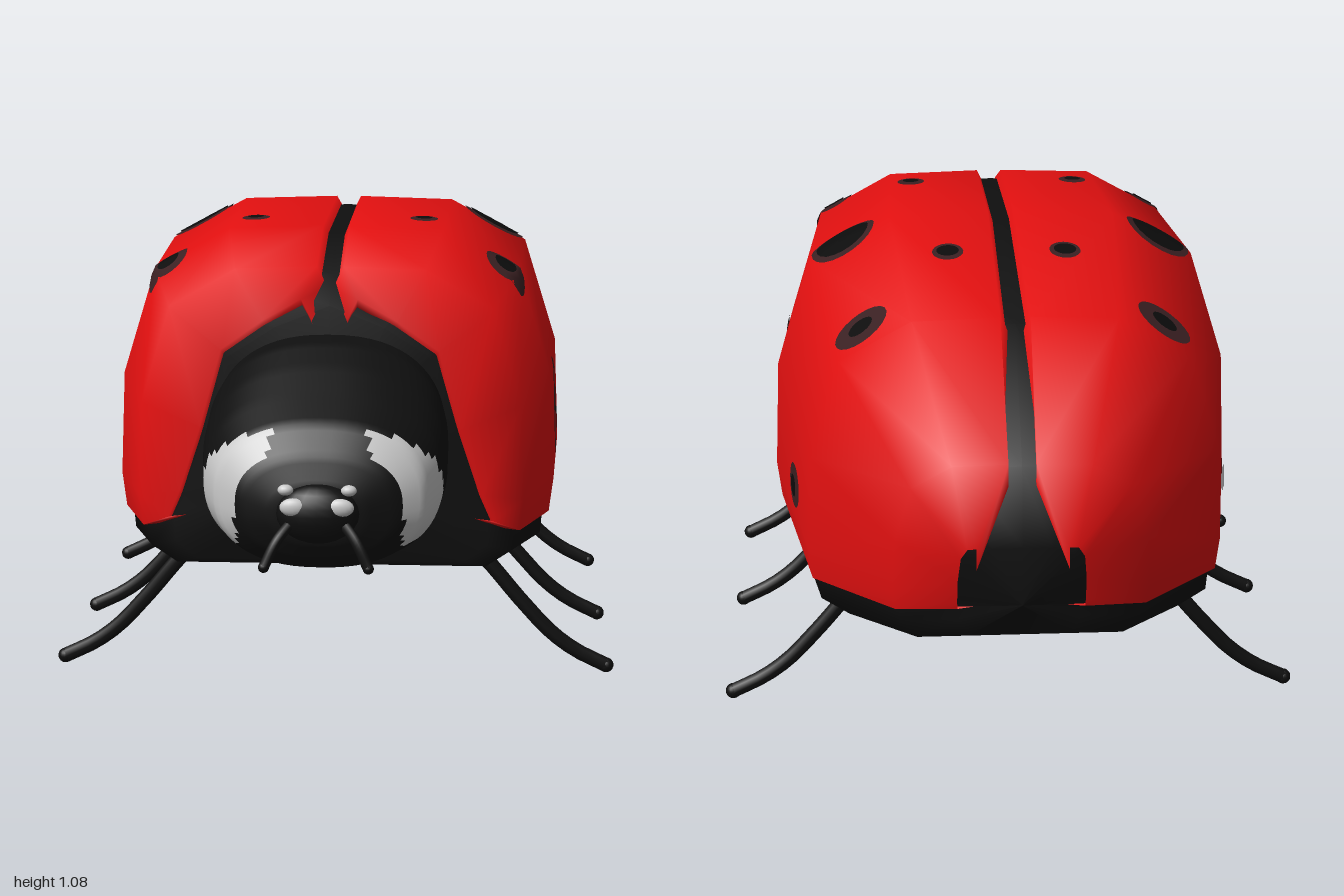
import * as THREE from 'three';

const mat = (name, color, side = THREE.FrontSide) => {
  const m = new THREE.MeshStandardMaterial({ color, side });
  m.name = name;
  return m;
};

// Skin a surface over sections ordered front to back; pick(x, y, z) chooses a material group
function loft(sections, { closed = false, flip = false, pick = null } = {}) {
  const n = sections[0].length, pos = sections.flat(2), groups = [[], []];
  for (let i = 0; i < sections.length - 1; i++) {
    for (let j = 0; j < (closed ? n : n - 1); j++) {
      const k = (j + 1) % n;
      const a = i * n + j, b = i * n + k, c = a + n, d = b + n;
      const mid = [0, 1, 2].map(q => (pos[a * 3 + q] + pos[b * 3 + q] + pos[c * 3 + q] + pos[d * 3 + q]) / 4);
      const list = groups[pick && pick(...mid) ? 1 : 0];
      if (flip) list.push(a, c, b, b, c, d);
      else list.push(a, b, c, b, d, c);
    }
  }
  const g = new THREE.BufferGeometry();
  g.setAttribute('position', new THREE.Float32BufferAttribute(pos, 3));
  g.setIndex([...groups[0], ...groups[1]]);
  if (pick) {
    g.addGroup(0, groups[0].length, 0);
    g.addGroup(groups[0].length, groups[1].length, 1);
  }
  g.computeVertexNormals();
  return g;
}

// Piecewise linear lookup in [[key, value], ...] with rising keys
function lookup(table, t) {
  for (let i = 1; i < table.length; i++) {
    const [k0, v0] = table[i - 1], [k1, v1] = table[i];
    if (t <= k1) return v0 + (v1 - v0) * Math.max(0, (t - k0) / (k1 - k0));
  }
  return table[table.length - 1][1];
}

// Half cross-section of the back, from the seam (0,1) to the rim
const ARCH = [[0, 1], [0.48, 0.99], [0.83, 0.845], [0.98, 0.48], [1, 0.12], [0.98, 0]];
const FRONT_ARCH = [[0, 1], [0.34, 0.9], [0.62, 0.77], [0.77, 0.42], [0.92, 0.12], [1, 0]];
// z, half width, top, rim height, seam gap, belly height, forward tuck of the rim
const STATIONS = [
  [0.55, 0.38, 0.92, 0.40, 0.04, 0.30, -0.02],
  [0.51, 0.45, 0.99, 0.375, 0.006, 0.285, 0],
  [0.29, 0.525, 1.06, 0.37, 0.006, 0.275, 0],
  [-0.22, 0.55, 1.08, 0.37, 0.006, 0.27, 0],
  [-0.74, 0.465, 0.975, 0.37, 0.008, 0.275, 0],
  [-0.97, 0.28, 0.72, 0.375, 0.03, 0.30, 0.04],
  [-1.0, 0.14, 0.54, 0.38, 0.1, 0.31, 0.05],
];
const archPoints = ([z, w, top, rim, gap, , tuck], i) =>
  (i === 0 ? FRONT_ARCH : ARCH).map(([u, v]) =>
    [gap + (w - gap) * u, rim + (top - rim) * v, z + tuck * (1 - v)]);

function wingCase(side) {
  const sections = STATIONS.map((s, i) => {
    const p = archPoints(s, i), [x, y, z] = p[0], e = p[p.length - 1];
    const edge = [Math.max(s[4], e[0] - 0.04), e[1] + 0.005, e[2]];
    const lip = i > 4 ? 0 : 0.025;
    return [[x, y - 0.05, z], [x + lip, y, z], ...p.slice(1), e, edge]
      .map(([a, b, c]) => [side * a, b, c]);
  });
  // turned-in front edge
  const inner = sections[0].map(([x, y, z]) => [x * 0.96, 0.4 + (y - 0.4) * 0.96, z - 0.02]);
  return loft([inner, ...sections], { flip: side < 0 });
}

function bodyGeometry() {
  const rings = STATIONS.map((s, i) => {
    const flat = [...s];
    flat[4] = 0;
    const half = archPoints(flat, i).map(([x, y, z]) => [x * 0.97, 0.37 + (y - 0.37) * 0.97, z * 0.985]);
    const [x, , z] = half[half.length - 1];
    half.push([x * 0.99, s[5] + 0.04, z], [x * 0.85, s[5], z]);
    return [...half, ...half.slice(1).reverse().map(([a, b, c]) => [-a, b, c])];
  });
  const cap = (ring, y) => ring.map(() => [0, y, ring[0][2]]);
  return loft([cap(rings[0], 0.55), ...rings, cap(rings[rings.length - 1], 0.4)], { closed: true });
}

// z, half width, top, bottom
const HEAD = [
  [0.935, 0.005, 0.51, 0.5], [0.93, 0.1, 0.57, 0.44], [0.91, 0.17, 0.63, 0.405], [0.87, 0.23, 0.695, 0.375],
  [0.78, 0.265, 0.745, 0.36], [0.7, 0.275, 0.79, 0.358], [0.62, 0.275, 0.83, 0.36],
  [0.56, 0.268, 0.84, 0.375], [0.5, 0.25, 0.83, 0.4],
];
function headGeometry() {
  const rings = [], steps = 5, sides = 64;
  const soft = v => Math.sign(v) * Math.abs(v) ** 0.85;
  for (let i = 0; i <= (HEAD.length - 1) * steps; i++) {
    const k = Math.min(HEAD.length - 2, Math.floor(i / steps)), f = i / steps - k;
    const [z, w, t, b] = HEAD[k].map((v, q) => v + (HEAD[k + 1][q] - v) * f);
    rings.push(Array.from({ length: sides }, (_, j) => {
      const a = j / sides * Math.PI * 2;
      return [w * soft(Math.sin(a)), (t + b) / 2 + (t - b) / 2 * soft(Math.cos(a)), z];
    }));
  }
  // pale cheek patches
  const innerX = [[0.42, 0.18], [0.5, 0.185], [0.58, 0.165], [0.63, 0.11], [0.68, 0.1]];
  const backZ = [[0.42, 0.72], [0.52, 0.755], [0.61, 0.81], [0.68, 0.87]];
  const pick = (x, y, z) => y > 0.425 && y < 0.68 && Math.abs(x) > lookup(innerX, y) && z > lookup(backZ, y);
  return loft(rings, { closed: true, pick });
}

// Disc laid on a surface by casting rays along one axis; a is x (or z), b is z (or y)
function spotGeometry(target, side, fromSide, a, b, ra, rb, tilt, lift) {
  const ray = new THREE.Raycaster(), sections = [], segs = 20;
  const dir = fromSide ? new THREE.Vector3(-side, 0, 0) : new THREE.Vector3(0, -1, 0);
  for (let r = 0; r <= 4; r++) {
    sections.push(Array.from({ length: segs }, (_, j) => {
      const t = j / segs * Math.PI * 2, p = Math.cos(t) * ra * r / 4, q = Math.sin(t) * rb * r / 4;
      const u = a + p * Math.cos(tilt) - q * Math.sin(tilt), v = b + p * Math.sin(tilt) + q * Math.cos(tilt);
      const from = fromSide ? new THREE.Vector3(2 * side, v, u) : new THREE.Vector3(side * u, 3, v);
      ray.set(from, dir);
      const hit = ray.intersectObject(target)[0];
      const at = hit ? hit.point.addScaledVector(hit.face.normal, lift) : from.addScaledVector(dir, 2);
      return at.toArray();
    }));
  }
  return loft(sections, { closed: true });
}

// fromSide, a, b, radii of the rim, radii of the core, tilt
const SPOTS = [
  [false, 0.335, -0.66, 0.055, 0.065, 0.025, 0.03, 0.5],
  [false, 0.135, -0.425, 0.036, 0.04, 0.026, 0.026, 0],
  [false, 0.375, -0.215, 0.075, 0.085, 0.062, 0.068, 0],
  [false, 0.205, 0.16, 0.034, 0.04, 0.02, 0.022, 0],
  [false, 0.4, 0.3, 0.045, 0.06, 0.025, 0.03, 0],
  [true, 0.16, 0.605, 0.06, 0.12, 0.035, 0.06, 0.2],
  [true, -0.545, 0.52, 0.07, 0.05, 0.035, 0.025, 0],
];

export function createModel() {
  const model = new THREE.Group();
  model.name = 'ladybird';
  const red = mat('shellRed', 0xe31010, THREE.DoubleSide);
  const black = mat('bodyBlack', 0x0f0f0f);
  const core = mat('spotBlack', 0x0c0c0c, THREE.DoubleSide);
  const rim = mat('spotRim', 0x3a2022, THREE.DoubleSide);
  const white = mat('cheekWhite', 0xcacaca);
  const add = (name, geometry, material) => {
    const m = new THREE.Mesh(geometry, material);
    m.name = name;
    model.add(m);
    return m;
  };
  const ball = (name, material, p, s) => {
    const m = add(name, new THREE.SphereGeometry(1, 16, 12), material);
    m.position.set(...p);
    m.scale.set(...s);
  };
  const limb = (name, points, radius) => {
    const path = new THREE.CatmullRomCurve3(points.map(p => new THREE.Vector3(...p)));
    add(name, new THREE.TubeGeometry(path, 16, radius, 8), black);
    ball(name + 'Tip', black, points[points.length - 1], [radius, radius, radius]);
  };

  add('body', bodyGeometry(), black);
  add('head', headGeometry(), [black, white]);
  ball('snout', black, [0, 0.51, 0.93], [0.09, 0.065, 0.045]);

  for (const side of [1, -1]) {
    const label = side > 0 ? 'left' : 'right';
    const shell = add(label + 'WingCase', wingCase(side), red);
    shell.updateMatrixWorld();
    for (const [fromSide, a, b, ra, rb, ca, cb, tilt] of SPOTS) {
      add(label + 'SpotRim', spotGeometry(shell, side, fromSide, a, b, ra, rb, tilt, 0.004), rim);
      add(label + 'SpotCore', spotGeometry(shell, side, fromSide, a, b, ca, cb, tilt, 0.007), core);
    }
    // face marks and mouth feelers
    ball(label + 'FaceMark', white, [side * 0.05, 0.53, 0.958], [0.03, 0.02, 0.014]);
    ball(label + 'BrowMark', white, [side * 0.068, 0.565, 0.945], [0.017, 0.012, 0.014]);
    limb(label + 'Feeler', [[side * 0.05, 0.5, 0.94], [side * 0.085, 0.46, 0.975], [side * 0.112, 0.405, 0.988]], 0.012);
    // legs
    for (const z of [0.4, -0.05, -0.585]) {
      limb(label + 'Leg', [[0.25, 0.36], [0.34, 0.3], [0.45, 0.175], [0.52, 0.1], [0.58, 0.055], [0.655, 0.018]]
        .map(([x, y]) => [side * x, y, z]), 0.018);
    }
  }
  return model;
}
